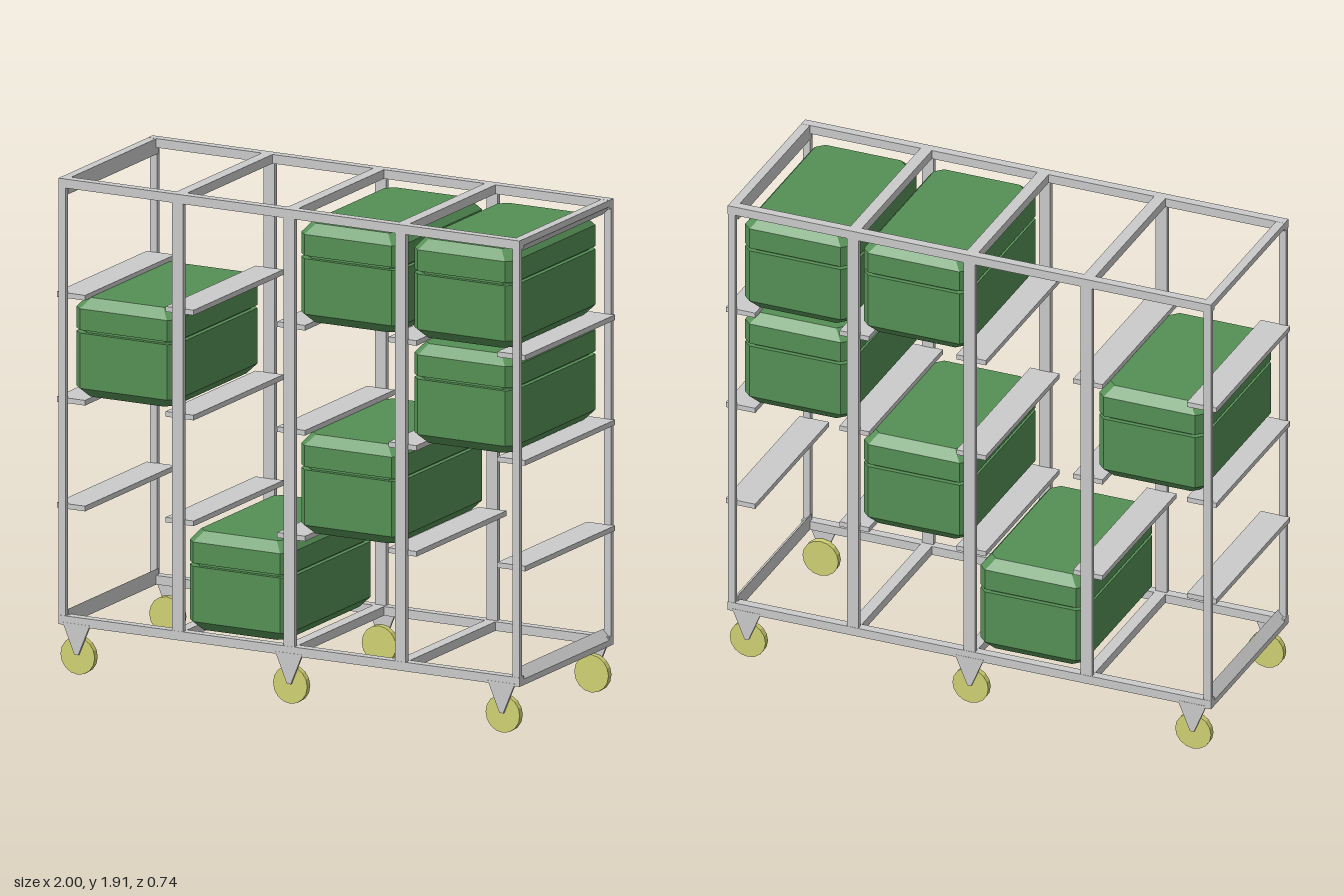
import * as THREE from 'three';

const steel = new THREE.MeshStandardMaterial({ color: 0xcccccc, flatShading: true });
const green = new THREE.MeshStandardMaterial({ color: 0x559055, flatShading: true });
const tyre = new THREE.MeshStandardMaterial({ color: 0xd2d274, flatShading: true });

function add(parent, name, geometry, material, x = 0, y = 0, z = 0) {
  const mesh = new THREE.Mesh(geometry, material);
  mesh.name = name;
  mesh.position.set(x, y, z);
  parent.add(mesh);
  return mesh;
}

// Box given by its centre and size
function bar(parent, name, x, y, z, w, h, d) {
  return add(parent, name, new THREE.BoxGeometry(w, h, d), steel, x, y, z);
}

// Outline in the xy plane, extruded along z and centred on z = 0
function prism(points, depth) {
  const shape = new THREE.Shape(points.map(([x, y]) => new THREE.Vector2(x, y)));
  const g = new THREE.ExtrudeGeometry(shape, { depth, bevelEnabled: false });
  return g.translate(0, 0, -depth / 2);
}

// Rectangle with cut corners, stacked in rings of [inset, height]
function crateGeometry(halfW, halfD, cut, rings) {
  const pos = [], index = [], n = 8;
  for (const [inset, y] of rings) {
    const a = halfW - inset, b = halfD - inset, c = cut;
    for (const [x, z] of [[a, b - c], [a, c - b], [a - c, -b], [c - a, -b],
      [-a, c - b], [-a, b - c], [c - a, b], [a - c, b]]) pos.push(x, y, z);
  }
  for (let r = 0; r < rings.length - 1; r++) {
    for (let i = 0; i < n; i++) {
      const a = r * n + i, b = r * n + (i + 1) % n;
      index.push(a, b, b + n, a, b + n, a + n);
    }
  }
  const top = (rings.length - 1) * n;
  for (let i = 1; i < n - 1; i++) {
    index.push(0, i + 1, i);
    index.push(top, top + i, top + i + 1);
  }
  const g = new THREE.BufferGeometry();
  g.setAttribute('position', new THREE.Float32BufferAttribute(pos, 3));
  g.setIndex(index);
  const flat = g.toNonIndexed();
  flat.computeVertexNormals();
  return flat;
}

export function createModel() {
  const root = new THREE.Group();
  root.name = 'crateTrolley';
  const middles = [-0.476, 0, 0.476];

  const frame = new THREE.Group();
  frame.name = 'frame';
  root.add(frame);

  // Long rails and upright posts, front and back
  for (const s of [1, -1]) {
    bar(frame, 'topRail', 0, 1.897, s * 0.349, 1.97, 0.035, 0.036);
    bar(frame, 'bottomRail', 0, 0.208, s * 0.349, 1.97, 0.035, 0.036);
    for (const x of [-0.97, 0.97]) bar(frame, 'cornerPost', x, 1.052, s * 0.356, 0.03, 1.7, 0.02);
    for (const x of middles) bar(frame, 'middlePost', x, 1.052, s * 0.356, 0.046, 1.7, 0.02);
  }

  // End rails with a slanted outer lower or upper edge
  const upper = prism([[0.95, 1.914], [0.95, 1.853], [0.985, 1.89], [0.985, 1.914]], 0.7);
  const lower = prism([[0.95, 0.19], [0.985, 0.19], [0.985, 0.213], [0.95, 0.25]], 0.7);
  for (const turn of [0, Math.PI]) {
    add(frame, 'topEndRail', upper, steel).rotation.y = turn;
    add(frame, 'bottomEndRail', lower, steel).rotation.y = turn;
  }

  // Cross bars between the middle posts
  for (const x of middles) {
    bar(frame, 'topCrossBar', x, 1.897, 0, 0.046, 0.035, 0.68);
    bar(frame, 'bottomCrossBar', x, 0.208, 0, 0.046, 0.035, 0.68);
  }

  // Flat runners that carry the crates
  for (const y of [0.645, 1.054, 1.46])
    for (const x of [-0.94, ...middles, 0.94]) bar(root, 'runner', x, y, 0, 0.12, 0.02, 0.7);

  // Crates: body, recessed seam and lid
  const crate = crateGeometry(0.216, 0.34, 0.03, [
    [0.03, 0], [0, 0.035], [0, 0.249], [0.018, 0.249],
    [0.018, 0.261], [0, 0.261], [0, 0.343], [0.032, 0.383]]);
  const columns = [-0.722, -0.238, 0.238, 0.722];
  const levels = [0.228, 0.66, 1.07, 1.476];
  for (const [c, l] of [[0, 2], [1, 0], [2, 1], [2, 3], [3, 2], [3, 3]])
    add(root, 'crate', crate, green, columns[c], levels[l], 0);

  // Wheels with a tapered plate on the outer side
  const wheel = new THREE.CylinderGeometry(0.073, 0.073, 0.024, 16).rotateX(Math.PI / 2);
  const plate = prism([[-0.058, 0.2], [-0.008, 0.08], [0.008, 0.08], [0.058, 0.2]], 0.01);
  for (const s of [1, -1]) {
    for (const x of [-0.908, 0, 0.908]) {
      const caster = new THREE.Group();
      caster.name = 'caster';
      caster.position.x = x;
      root.add(caster);
      add(caster, 'wheel', wheel, tyre, 0, 0.075, s * 0.345);
      add(caster, 'casterPlate', plate, steel, 0, 0, s * 0.363);
    }
  }
  return root;
}
